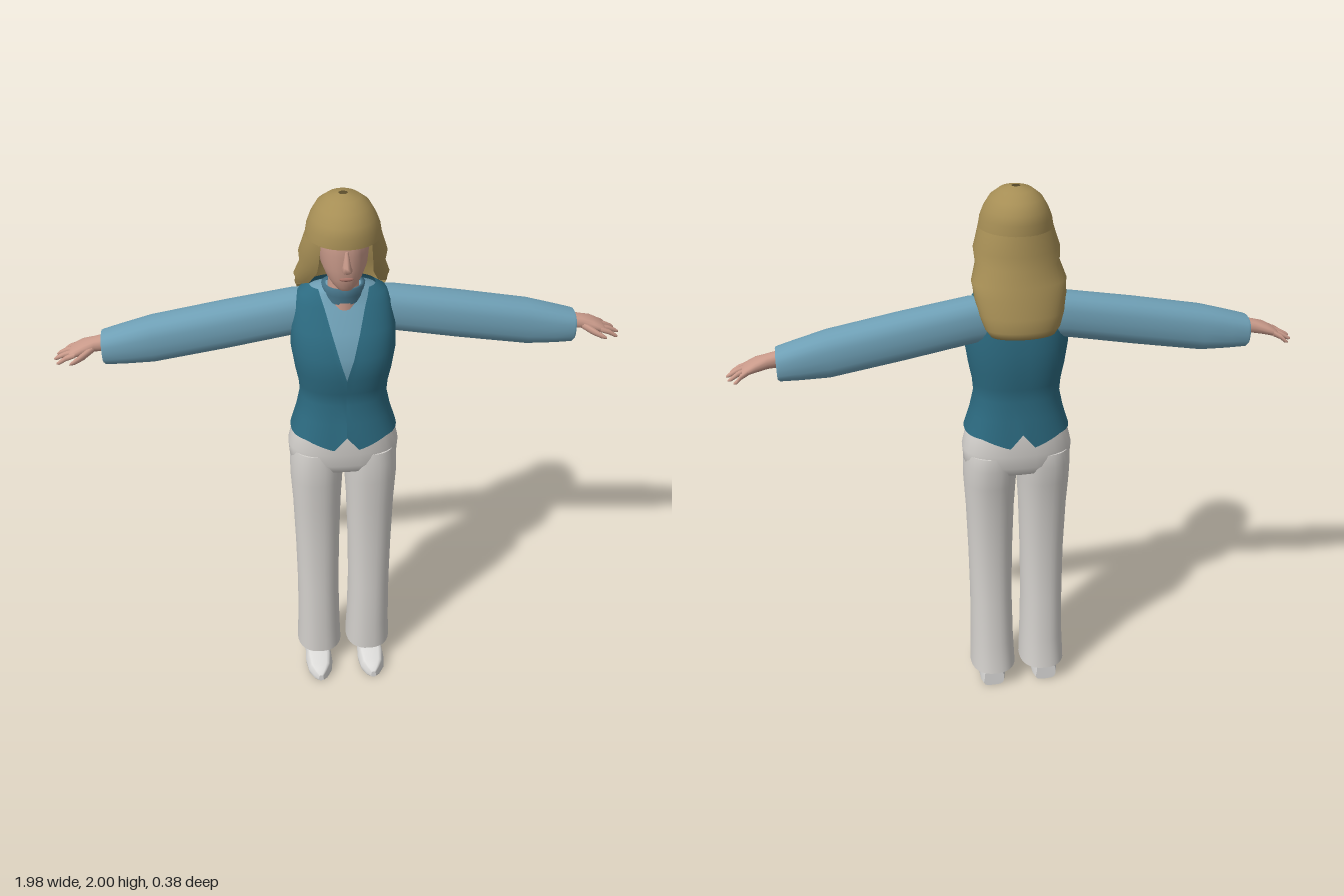
import * as THREE from 'three';

const mat = (name, color) => Object.assign(
  new THREE.MeshStandardMaterial({ color, side: THREE.DoubleSide }), { name });
const V = (x, y, z) => new THREE.Vector3(x, y, z);

// Rounded cross-section in two axes, as [u, w] pairs; v is the half-width of an opening at w > 0.
function section(ru, rw, n, count, v = 0) {
  const t0 = Math.asin(Math.min(1, Math.pow(v / ru, n / 2)));
  const bend = (k) => Math.sign(k) * Math.pow(Math.abs(k), 2 / n);
  return Array.from({ length: count + 1 }, (_, i) => {
    const a = t0 + (i / count) * (Math.PI * 2 - 2 * t0);
    return [ru * bend(Math.sin(a)), rw * bend(Math.cos(a))];
  });
}

// Skins a row of cross-sections, with optional flat end caps.
function loft(rings, caps = true) {
  const m = rings[0].length, pts = rings.flat(), idx = [];
  for (let r = 0; r < rings.length - 1; r++) {
    for (let i = 0; i < m - 1; i++) {
      const a = r * m + i, b = a + m;
      idx.push(a, a + 1, b, a + 1, b + 1, b);
    }
  }
  if (caps) {
    [rings[0], rings[rings.length - 1]].forEach((ring, end) => {
      const c = ring.slice(1).reduce((s, p) => s.add(p), V(0, 0, 0)).divideScalar(m - 1);
      const base = pts.length;
      pts.push(...ring, c);
      for (let i = 0; i < m - 1; i++) {
        idx.push(base + m, base + i + (end ? 0 : 1), base + i + (end ? 1 : 0));
      }
    });
  }
  // Turn the faces outward
  const mid = pts.reduce((s, p) => s.add(p), V(0, 0, 0)).divideScalar(pts.length);
  let volume = 0;
  for (let i = 0; i < idx.length; i += 3) {
    const [a, b, c] = [0, 1, 2].map((k) => pts[idx[i + k]].clone().sub(mid));
    volume += a.dot(b.cross(c));
  }
  if (volume < 0) idx.reverse();
  const g = new THREE.BufferGeometry().setFromPoints(pts);
  g.setIndex(idx);
  g.computeVertexNormals();
  // Smooth the seam where a ring closes on itself
  const N = g.attributes.normal;
  rings.forEach((ring, r) => {
    if (ring[0].distanceTo(ring[m - 1]) > 1e-5) return;
    const i = r * m, j = i + m - 1;
    const n = V(N.getX(i) + N.getX(j), N.getY(i) + N.getY(j), N.getZ(i) + N.getZ(j)).normalize();
    [i, j].forEach((k) => N.setXYZ(k, n.x, n.y, n.z));
  });
  return g;
}

// Rows of [y, cx, cz, rx, rz, opening]
const upright = (rows, { n = 2, count = 32, caps = true } = {}) => loft(rows.map(
  ([y, cx, cz, rx, rz, v]) => section(rx, rz, n, count, v).map(([u, w]) => V(cx + u, y, cz + w))), caps);
// Rows of [x, cy, cz, ry, rz], on side s
const sideways = (s, rows, n = 2, count = 16) => loft(rows.map(
  ([x, cy, cz, ry, rz]) => section(rz, ry, n, count).map(([u, w]) => V(s * x, cy + w, cz + u))));

export function createModel() {
  const model = new THREE.Group();
  const skin = mat('skin', 0xc99a8a), lip = mat('lips', 0xa97468), hair = mat('hair', 0xa68e55);
  const shirt = mat('shirt', 0x6fa0b6), collar = mat('collar', 0x4a7a90), vest = mat('vest', 0x2c6a80);
  const trousers = mat('trousers', 0xd3d0cc), shoe = mat('shoes', 0xdcdbd9);
  const add = (name, geometry, material) => {
    const mesh = new THREE.Mesh(geometry, material);
    mesh.name = name;
    model.add(mesh);
    return mesh;
  };

  // Head, nose and mouth
  add('head', upright([
    [1.7, 0, 0.075, 0.025, 0.03], [1.715, 0, 0.06, 0.042, 0.055], [1.74, 0, 0.04, 0.06, 0.083],
    [1.78, 0, 0.025, 0.077, 0.105], [1.83, 0, 0.02, 0.083, 0.112], [1.88, 0, 0.02, 0.085, 0.112],
    [1.93, 0, 0.02, 0.07, 0.09]], { n: 2.2 }), skin);
  add('nose', upright([
    [1.772, 0, 0.118, 0.013, 0.016], [1.785, 0, 0.128, 0.019, 0.034],
    [1.8, 0, 0.126, 0.014, 0.028], [1.85, 0, 0.123, 0.007, 0.012]], { count: 8 }), skin);
  const mouth = add('mouth', new THREE.SphereGeometry(1, 12, 8), lip);
  mouth.scale.set(0.024, 0.007, 0.007);
  mouth.position.set(0, 1.75, 0.123);
  add('neck', new THREE.CylinderGeometry(0.05, 0.055, 0.14, 20).translate(0, 1.68, 0.015), skin);

  // Hair: crown with fringe, then long locks open at the face
  add('hairCrown', upright([
    [2, 0, 0.01, 0.015, 0.015], [1.99, 0, 0.01, 0.055, 0.065], [1.965, 0, 0.01, 0.087, 0.105],
    [1.93, 0, 0.012, 0.108, 0.13], [1.9, 0, 0.015, 0.12, 0.137], [1.865, 0, 0.015, 0.126, 0.138]],
  { caps: false }), hair);
  add('hairLocks', upright([
    [1.867, 0, 0.015, 0.126, 0.138, 0.082], [1.8, 0, 0, 0.147, 0.132, 0.088],
    [1.755, 0, -0.015, 0.143, 0.122, 0.092], [1.7, 0, -0.045, 0.162, 0.11, 0.115],
    [1.66, 0, -0.068, 0.158, 0.096, 0.152], [1.6, 0, -0.095, 0.145, 0.085, 0.1449],
    [1.555, 0, -0.115, 0.128, 0.07, 0.1279], [1.53, 0, -0.12, 0.11, 0.055, 0.1099],
    [1.535, 0, -0.11, 0.1, 0.015, 0.0999]], { caps: false }), hair);

  // Shirt body and turned collar
  add('shirtBody', upright([
    [1.3, 0, 0.006, 0.145, 0.11], [1.38, 0, 0.008, 0.161, 0.13], [1.46, 0, 0.008, 0.173, 0.133],
    [1.54, 0, -0.005, 0.172, 0.113], [1.62, 0, -0.02, 0.155, 0.084],
    [1.658, 0, -0.02, 0.115, 0.066], [1.675, 0, -0.005, 0.06, 0.055]], { n: 2.4 }), shirt);
  add('collar', upright([
    [1.63, 0, 0, 0.07, 0.068], [1.66, 0, 0.008, 0.068, 0.066],
    [1.69, 0, 0.014, 0.074, 0.066], [1.688, 0, 0.014, 0.06, 0.054]], { caps: false, count: 20 }), collar);

  // Waistcoat with a V neck and a pointed, notched hem
  const vestShape = upright([
    [1.125, 0, 0.01, 0.19, 0.14, 0], [1.2, 0, 0.008, 0.168, 0.13, 0], [1.27, 0, 0.006, 0.153, 0.118, 0],
    [1.32, 0, 0.007, 0.157, 0.125, 0], [1.38, 0, 0.008, 0.169, 0.138, 0],
    [1.46, 0, 0.008, 0.181, 0.141, 0.023], [1.54, 0, -0.005, 0.18, 0.121, 0.046],
    [1.62, 0, -0.02, 0.166, 0.092, 0.068], [1.65, 0, -0.022, 0.148, 0.08, 0.078],
    [1.672, 0, -0.022, 0.112, 0.065, 0.085]], { n: 2.4, count: 72, caps: false });
  const P = vestShape.attributes.position;
  for (let i = 0; i <= 72; i++) {
    const x = Math.abs(P.getX(i));
    P.setY(i, x < 0.045 ? 1.15 - 1.2 * x : Math.min(1.13, 1.096 + 0.35 * (x - 0.045)));
  }
  vestShape.computeVertexNormals();
  add('vest', vestShape, vest);

  // Trouser seat
  add('trouserSeat', upright([
    [0.955, 0, 0.005, 0.12, 0.07], [0.975, 0, 0.004, 0.175, 0.105], [1.01, 0, 0.002, 0.196, 0.122],
    [1.06, 0, 0.002, 0.2, 0.125], [1.13, 0, 0.003, 0.183, 0.128], [1.18, 0, 0.006, 0.162, 0.118]],
  { n: 2.4 }), trousers);

  for (const s of [1, -1]) {
    const side = s > 0 ? 'left' : 'right';
    // Flared trouser leg
    add(side + 'TrouserLeg', upright([
      [0.08, s * 0.099, 0, 0.088, 0.105], [0.2, s * 0.099, 0.008, 0.083, 0.098],
      [0.4, s * 0.1, 0.012, 0.08, 0.092], [0.6, s * 0.1, 0.015, 0.083, 0.085],
      [0.8, s * 0.1, 0.012, 0.089, 0.097], [0.92, s * 0.1, 0.009, 0.096, 0.11],
      [1, s * 0.098, 0.002, 0.098, 0.12], [1.05, s * 0.095, 0.002, 0.095, 0.115]], { n: 2.3 }), trousers);

    // Shoe as slices of [z, half width, bottom, top], with a raised heel
    add(side + 'Shoe', loft([
      [-0.075, 0.042, 0, 0.085], [-0.05, 0.05, 0, 0.09], [-0.002, 0.05, 0, 0.09],
      [0, 0.05, 0.02, 0.09], [0.05, 0.053, 0.005, 0.085], [0.1, 0.055, 0, 0.072],
      [0.15, 0.047, 0, 0.06], [0.18, 0.028, 0, 0.052], [0.195, 0.01, 0.006, 0.035]]
      .map(([z, w, lo, hi]) => section(w, (hi - lo) / 2, 4, 16)
        .map(([u, v]) => V(s * 0.106 + u * (v > 0 ? 0.85 : 1), (lo + hi) / 2 + v, z)))), shoe);

    // Full sleeve drawn in at the cuff
    add(side + 'Sleeve', sideways(s, [
      [0.1, 1.567, -0.04, 0.078, 0.065], [0.17, 1.562, -0.04, 0.08, 0.069],
      [0.4, 1.523, -0.042, 0.082, 0.071], [0.65, 1.48, -0.045, 0.08, 0.07],
      [0.75, 1.465, -0.045, 0.067, 0.065], [0.815, 1.456, -0.045, 0.057, 0.06],
      [0.823, 1.458, -0.045, 0.052, 0.055]], 2.5, 20), shirt);

    // Hand with four fingers and a thumb
    add(side + 'Palm', sideways(s, [
      [0.8, 1.475, -0.045, 0.028, 0.03], [0.85, 1.468, -0.045, 0.024, 0.031],
      [0.89, 1.459, -0.045, 0.021, 0.043], [0.925, 1.446, -0.045, 0.015, 0.045],
      [0.935, 1.443, -0.045, 0.009, 0.038]], 2.4), skin);
    [[-0.081, -0.101, 0.965], [-0.058, -0.074, 0.985], [-0.033, -0.039, 0.992], [-0.009, -0.004, 0.98]]
      .forEach(([z0, z1, tip], i) => add(side + 'Finger' + (i + 1), sideways(s, [
        [0.915, 1.448, z0, 0.011, 0.011], [(0.915 + tip) / 2, 1.437, (z0 + z1) / 2, 0.01, 0.01],
        [tip - 0.01, 1.424, z1, 0.008, 0.008], [tip, 1.42, z1, 0.003, 0.003]], 2, 8), skin));
    add(side + 'Thumb', sideways(s, [
      [0.85, 1.462, -0.028, 0.014, 0.014], [0.885, 1.448, 0.002, 0.014, 0.015],
      [0.915, 1.436, 0.019, 0.01, 0.01], [0.932, 1.43, 0.024, 0.004, 0.004]], 2, 8), skin);
  }
  return model;
}
